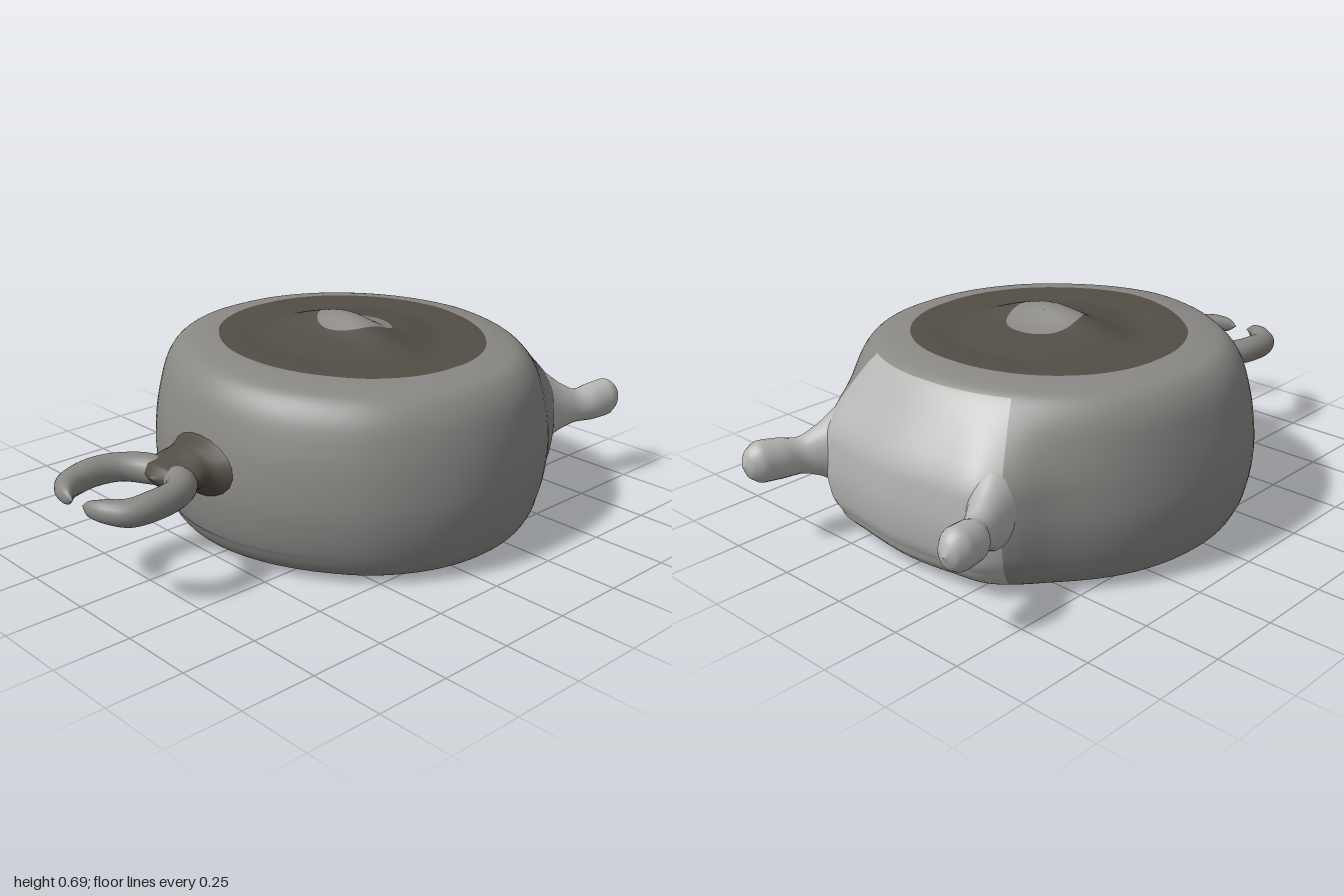
import * as THREE from 'three';

const V = (x, y, z) => new THREE.Vector3(x, y, z);
const material = (color) => new THREE.MeshStandardMaterial({ color, roughness: 0.8 });
const MID = material(0x8a8885), DARK = material(0x524d45), LIGHT = material(0xb4b4b2);

// Smooth skin over a stack of closed rings: point(i, j) for ring i, step j
function skin(rings, steps, point) {
  const pos = [], index = [];
  for (let i = 0; i < rings; i++)
    for (let j = 0; j < steps; j++) pos.push(...point(i, j).toArray());
  for (let i = 0; i < rings - 1; i++)
    for (let j = 0; j < steps; j++) {
      const k = (j + 1) % steps;
      const a = i * steps + j, b = i * steps + k, c = b + steps, d = a + steps;
      index.push(a, b, c, a, c, d);
    }
  const g = new THREE.BufferGeometry();
  g.setAttribute('position', new THREE.Float32BufferAttribute(pos, 3));
  g.setIndex(index);
  g.computeVertexNormals();
  return g;
}

// Tapered limb along a level path; each section is [x, y, z, halfWidth, halfHeight]
function limb(name, sections, mat, side = 1) {
  const path = new THREE.CatmullRomCurve3(sections.map(([x, y, z]) => V(x * side, y, z)));
  const size = new THREE.CatmullRomCurve3(sections.map((s) => V(s[3], s[4], 0)));
  const rings = 40, steps = 20, up = V(0, 1, 0);
  const g = skin(rings, steps, (i, j) => {
    const t = i / (rings - 1), a = (j / steps) * Math.PI * 2;
    const across = up.clone().cross(path.getTangent(t)).normalize();
    const r = size.getPoint(t);
    return path.getPoint(t)
      .addScaledVector(across, Math.max(r.x, 0.001) * Math.cos(a))
      .addScaledVector(up, Math.max(r.y, 0.001) * Math.sin(a));
  });
  const m = new THREE.Mesh(g, mat);
  m.name = name;
  return m;
}

// Drum with round top and bottom, a flattened bulge at the back and a low ridge on top
function buildBody() {
  const half = [[0.12, 0.543], [0.26, 0.5], [0.41, 0.415], [0.54, 0.3], [0.638, 0.13],
    [0.675, -0.05], [0.65, -0.25], [0.582, -0.42], [0.465, -0.59], [0.405, -0.69],
    [0.33, -0.765], [0.2, -0.785]];
  const loop = [[0, 0.555], ...half, [0, -0.805], ...half.map(([x, z]) => [-x, z]).reverse()];
  const outline = new THREE.CatmullRomCurve3(loop.map(([x, z]) => V(x, 0, z)), true);
  const profile = new THREE.CatmullRomCurve3([[0.001, 0.02], [0.4, 0.018], [0.7, 0.014],
    [0.86, 0.018], [0.92, 0.045], [0.967, 0.11], [1, 0.23], [0.995, 0.34], [0.97, 0.44],
    [0.925, 0.535], [0.86, 0.585], [0.76, 0.6], [0.5, 0.6], [0.25, 0.6], [0.001, 0.6]]
    .map(([s, y]) => V(s, y, 0)));
  const rings = 113, steps = 104, midZ = -0.12;
  const edge = Array.from({ length: steps }, (_, j) => outline.getPoint(j / steps));
  // The same edge without the back bulge
  const roundEdge = edge.map((e) => {
    const dz = e.z - midZ;
    return dz > 0 ? e : V(e.x, 0, dz).divideScalar(Math.hypot(e.x / 0.675, dz / 0.6)).add(V(0, 0, midZ));
  });

  const whole = skin(rings, steps, (i, j) => {
    const p = profile.getPoint(i / (rings - 1));
    const e = edge[j].clone().lerp(roundEdge[j], THREE.MathUtils.smoothstep(Math.abs(p.y - 0.25), 0.1, 0.35));
    const x = e.x * p.x, z = midZ + (e.z - midZ) * p.x;
    let y = p.y;
    if (y > 0.4) {
      const w = THREE.MathUtils.smoothstep(y, 0.4, 0.6);
      const dome = 0.04 * (1 - p.x * p.x);
      const ridge = 0.055 * Math.exp(-(((z + 0.08) / 0.08) ** 2) - (x / 0.2) ** 2);
      const dip = 0.012 * Math.exp(-(((p.x - 0.45) / 0.12) ** 2));
      y += w * (dome + ridge - dip - 0.035 * Math.max(0, x));
    } else if (y < 0.1) {
      y += 0.012 * z - 0.006 * x;
    }
    return V(x, y, z);
  });

  // Share the skin between coloured areas, by profile band and by position at the back
  const areas = { bodySide: [MID, []], topRing: [DARK, []], underside: [DARK, []], backPlate: [LIGHT, []] };
  const idx = whole.index.array, bands = (rings - 1) / 14;
  for (let q = 0; q < idx.length; q += 6) {
    const cell = q / 6, j = cell % steps, band = Math.floor(cell / steps) / bands;
    const atBack = edge[j].z < -0.7 && edge[(j + 1) % steps].z < -0.7;
    let area = 'bodySide';
    if (band < 3.5) area = 'underside';
    else if (band >= 11.37 && band < 13.2) area = 'topRing';
    else if (atBack && band >= 4 && band < 10) area = 'backPlate';
    areas[area][1].push(...idx.slice(q, q + 6));
  }
  const body = new THREE.Group();
  body.name = 'body';
  for (const [name, [mat, list]] of Object.entries(areas)) {
    const g = new THREE.BufferGeometry();
    g.setAttribute('position', whole.attributes.position);
    g.setAttribute('normal', whole.attributes.normal);
    g.setIndex(list);
    const m = new THREE.Mesh(g, mat);
    m.name = name;
    body.add(m);
  }
  return body;
}

export function createModel() {
  const model = new THREE.Group();
  model.name = 'model';
  model.add(buildBody());

  // Front claw: flared neck and two curved jaws with a gap between the tips
  const claw = new THREE.Group();
  claw.name = 'frontClaw';
  claw.add(limb('clawNeck', [[0, 0.32, 0.48, 0.2, 0.14], [0, 0.325, 0.54, 0.145, 0.1],
    [0, 0.335, 0.59, 0.11, 0.07], [0, 0.335, 0.64, 0.115, 0.05],
    [0, 0.335, 0.7, 0.09, 0.036], [0, 0.335, 0.73, 0, 0]], DARK));
  for (const side of [1, -1])
    claw.add(limb(side > 0 ? 'leftJaw' : 'rightJaw', [[0.01, 0.33, 0.66, 0.045, 0.04],
      [0.085, 0.33, 0.68, 0.05, 0.048], [0.143, 0.335, 0.745, 0.045, 0.045],
      [0.162, 0.335, 0.83, 0.044, 0.046], [0.148, 0.33, 0.91, 0.045, 0.042],
      [0.1, 0.335, 0.96, 0.034, 0.035], [0.055, 0.335, 0.982, 0.016, 0.024],
      [0.025, 0.335, 0.985, 0, 0]], MID, side));
  model.add(claw);

  // Back prongs: flared roots and rounded knob ends
  for (const side of [1, -1]) {
    const end = side > 0 ? 0 : 0.025;
    model.add(limb(side > 0 ? 'leftBackProng' : 'rightBackProng', [
      [0.31, 0.3, -0.62, 0.11, 0.17], [0.34, 0.3, -0.7, 0.08, 0.13],
      [0.368, 0.295, -0.76, 0.056, 0.085], [0.393, 0.29, -0.82, 0.046, 0.06],
      [0.412, 0.295, -0.88 + end, 0.057, 0.066], [0.425, 0.3, -0.94 + end, 0.056, 0.068],
      [0.433, 0.3, -0.98 + end, 0.036, 0.045], [0.436, 0.3, -1 + end, 0, 0]], LIGHT, side));
  }
  return model;
}
